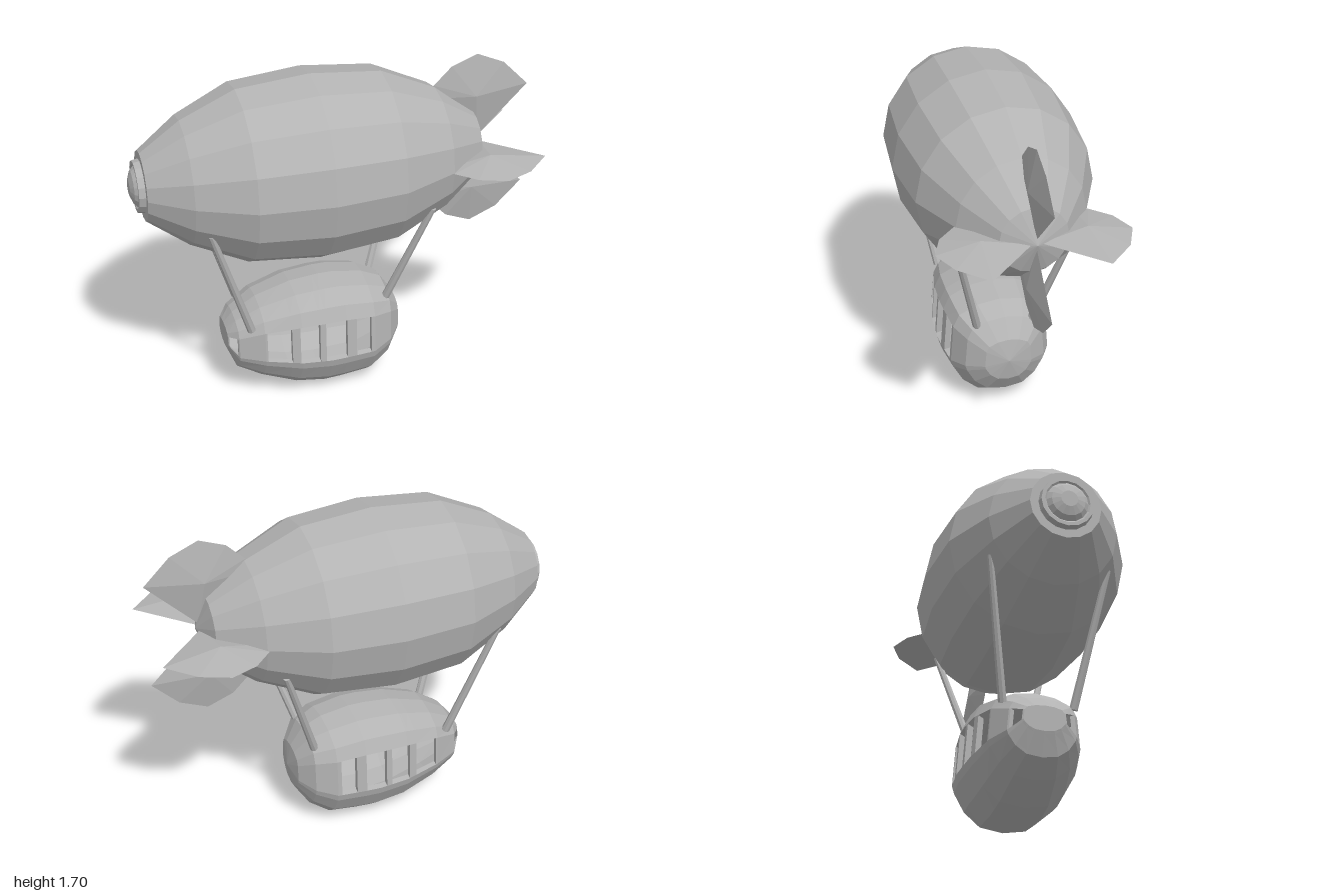
import * as THREE from 'three';

const grey = new THREE.MeshStandardMaterial({ color: 0xb3b3b3, flatShading: true, side: THREE.DoubleSide });
grey.name = 'plain grey';

const AXIS_Y = 1.24;

function addMesh(parent, geometry, name) {
  const mesh = new THREE.Mesh(geometry, grey);
  mesh.name = name;
  parent.add(mesh);
  return mesh;
}

function fromTriangles(points) {
  const geo = new THREE.BufferGeometry().setFromPoints(points);
  geo.computeVertexNormals();
  return geo;
}

// Solid of revolution along x, from [x, radius] pairs
function revolve(profile) {
  const geo = new THREE.LatheGeometry(profile.map(([x, r]) => new THREE.Vector2(r, x)), 16);
  return geo.rotateZ(-Math.PI / 2).translate(0, AXIS_Y, 0);
}

// Faceted fin: an outline in x and radius, swelling to a ridge point on each face
function finGeometry() {
  const outline = [[0.51, 0.25], [0.75, 0.02], [1.0, 0.27], [0.87, 0.4], [0.73, 0.46], [0.6, 0.41], [0.51, 0.32]];
  const points = [];
  outline.forEach(([x, y], i) => {
    const [x2, y2] = outline[(i + 1) % outline.length];
    const a = new THREE.Vector3(x, y, 0), b = new THREE.Vector3(x2, y2, 0);
    points.push(a, b, new THREE.Vector3(0.72, 0.25, 0.037));
    points.push(b, a, new THREE.Vector3(0.72, 0.25, -0.037));
  });
  return fromTriangles(points);
}

// Gondola sections: x, bottom, top, half width
const sections = [
  [-0.575, 0.275, 0.4, 0.1], [-0.53, 0.165, 0.455, 0.165], [-0.41, 0.1, 0.53, 0.22],
  [-0.23, 0.03, 0.585, 0.26], [-0.08, 0.01, 0.6, 0.27], [0.0, 0.015, 0.6, 0.27],
  [0.15, 0.03, 0.575, 0.255], [0.25, 0.1, 0.53, 0.205], [0.315, 0.2, 0.435, 0.12], [0.335, 0.32, 0.32, 0],
];
// Half of the cross-section, bottom to top: width and height fractions
const half = [[0, -1], [0.45, -0.93], [0.76, -0.68], [0.96, -0.34], [1, -0.2], [0.94, 0.53], [0.82, 0.77], [0.45, 0.94], [0, 1]];
const openings = [[-0.57, -0.535], [-0.4, -0.28], [-0.24, -0.14], [-0.11, 0], [0.05, 0.13]];
const WINDOW_ROWS = [4, 11];

function sectionAt(x) {
  let i = 0;
  while (i < sections.length - 2 && x > sections[i + 1][0]) i++;
  const a = sections[i], b = sections[i + 1];
  const t = (x - a[0]) / (b[0] - a[0]);
  return a.map((v, k) => v + (b[k] - v) * t);
}

function hullPoint(x, k, scale) {
  const [, bottom, top, width] = sectionAt(x);
  const j = k % 16;
  const [u, v] = j <= 8 ? half[j] : half[16 - j];
  const middle = (top + bottom) / 2;
  return new THREE.Vector3(x, middle + v * scale * (top - bottom) / 2, (j <= 8 ? 1 : -1) * u * width * scale);
}

// Thick shell with window openings, jambs and a closed nose
function gondolaGeometry() {
  const inner = 0.89;
  const stations = [...new Set([...sections.map((s) => s[0]), ...openings.flat()])].sort((a, b) => a - b);
  const points = [];
  const quad = (a, b, c, d) => points.push(a, b, c, a, c, d);
  const isOpen = (x, row) => WINDOW_ROWS.includes(row) && openings.some(([a, b]) => x > a && x < b);

  for (let i = 0; i < stations.length - 1; i++) {
    const x1 = stations[i], x2 = stations[i + 1];
    for (let row = 0; row < 16; row++) {
      const corners = (s) => [hullPoint(x1, row, s), hullPoint(x2, row, s), hullPoint(x2, row + 1, s), hullPoint(x1, row + 1, s)];
      const o = corners(1), n = corners(inner);
      if (!isOpen((x1 + x2) / 2, row)) {
        quad(...o);
        quad(...n.reverse());
      } else {
        // Sill and head of the opening
        quad(o[0], o[1], n[1], n[0]);
        quad(o[2], o[3], n[3], n[2]);
      }
    }
  }
  // Upright jambs at both ends of each opening
  for (const row of WINDOW_ROWS) {
    for (const [a, b] of openings) {
      quad(hullPoint(a, row + 1, 1), hullPoint(a, row, 1), hullPoint(a, row, inner), hullPoint(a, row + 1, inner));
      quad(hullPoint(b, row, 1), hullPoint(b, row + 1, 1), hullPoint(b, row + 1, inner), hullPoint(b, row, inner));
    }
  }
  // Nose cap
  const [x0, bottom, top] = sections[0];
  const centre = new THREE.Vector3(x0, (bottom + top) / 2, 0);
  for (let row = 0; row < 16; row++) points.push(hullPoint(x0, row, 1), hullPoint(x0, row + 1, 1), centre);
  return fromTriangles(points);
}

// Slightly tapered strut between two points
function strutGeometry(from, to) {
  const a = new THREE.Vector3(...from), b = new THREE.Vector3(...to);
  const dir = b.clone().sub(a);
  const geo = new THREE.CylinderGeometry(0.016, 0.021, dir.length(), 8);
  geo.applyQuaternion(new THREE.Quaternion().setFromUnitVectors(new THREE.Vector3(0, 1, 0), dir.normalize()));
  const mid = a.add(b).multiplyScalar(0.5);
  return geo.translate(mid.x, mid.y, mid.z);
}

export function createModel() {
  const model = new THREE.Group();
  model.name = 'airship';

  // Gas envelope and its nose fitting
  addMesh(model, revolve([
    [-0.94, 0], [-0.94, 0.17], [-0.745, 0.312], [-0.475, 0.435], [-0.115, 0.468],
    [0.24, 0.435], [0.515, 0.312], [0.715, 0.165], [0.77, 0],
  ]), 'envelope');
  addMesh(model, revolve([
    [-1.0, 0], [-1.0, 0.04], [-0.985, 0.08], [-0.965, 0.1], [-0.972, 0.108], [-0.972, 0.125], [-0.94, 0.13],
  ]), 'noseCap');

  // Four tail fins
  const fins = new THREE.Group();
  fins.name = 'tailFins';
  fins.position.y = AXIS_Y;
  const finGeo = finGeometry();
  for (let i = 0; i < 4; i++) addMesh(fins, finGeo, 'tailFin').rotation.x = i * Math.PI / 2;
  model.add(fins);

  // Gondola and the struts that carry it
  addMesh(model, gondolaGeometry(), 'gondola');
  for (const side of [1, -1]) {
    addMesh(model, strutGeometry([-0.47, 0.44, 0.17 * side], [-0.675, 1.08, 0.285 * side]), 'frontStrut');
    addMesh(model, strutGeometry([0.235, 0.49, 0.14 * side], [0.42, 1.05, 0.285 * side]), 'rearStrut');
  }
  return model;
}
